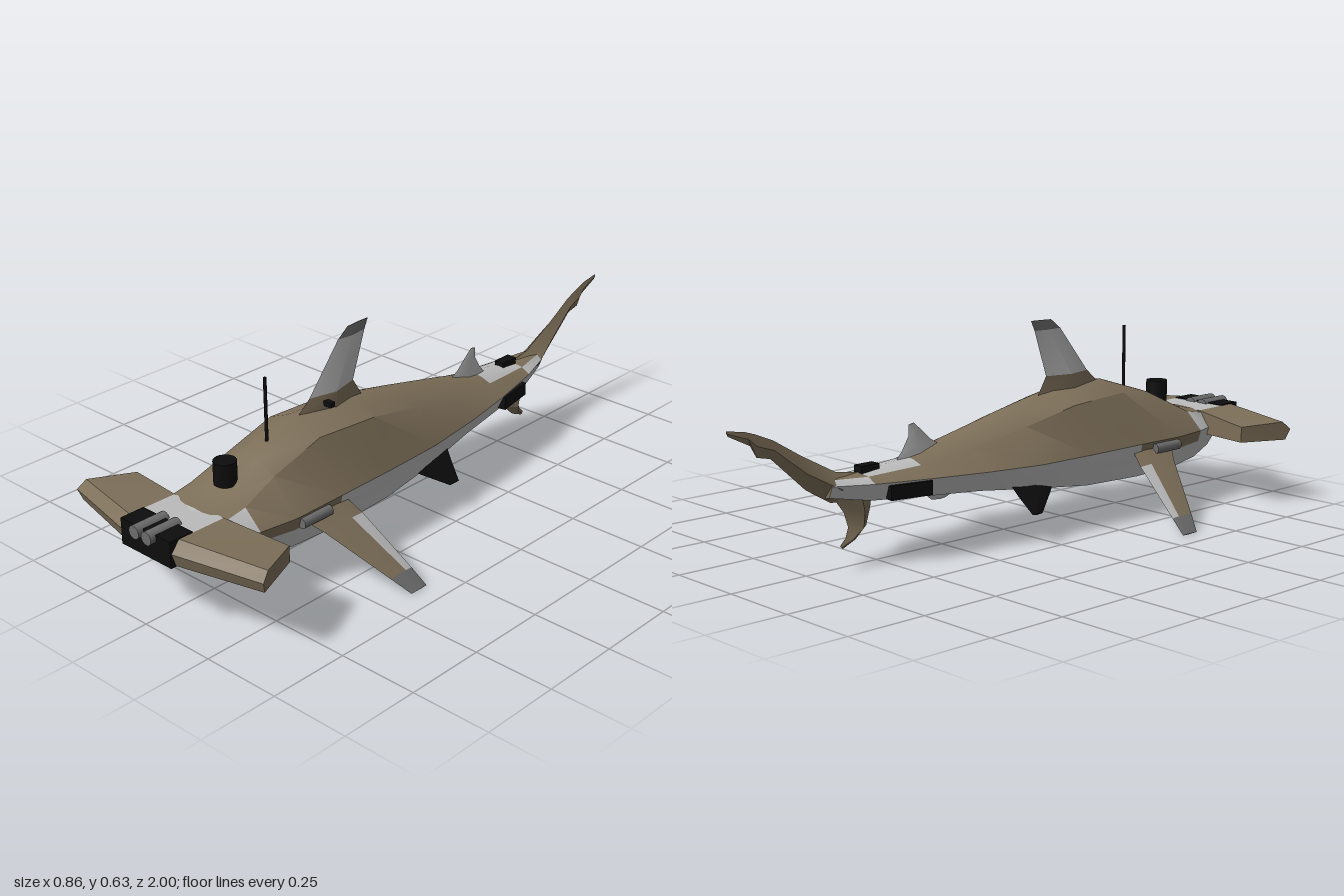
import * as THREE from 'three';
import { toCreasedNormals } from 'three/addons/utils/BufferGeometryUtils.js';

const mat = (name, color) => {
  const m = new THREE.MeshStandardMaterial({ color });
  m.name = name;
  return m;
};

export function createModel() {
  const root = new THREE.Group();
  root.name = 'sharkSubmarine';
  const mats = [mat('brown', 0x7d6f59), mat('lightGrey', 0xbcbcbc), mat('black', 0x0d0d0d), mat('midGrey', 0x6c6c6c)];
  const BROWN = 0, LIGHT = 1, BLACK = 2, GREY = 3;

  const add = (name, geo, material, x = 0, y = 0, z = 0) => {
    const m = new THREE.Mesh(geo, material);
    m.name = name;
    m.position.set(x, y, z);
    root.add(m);
    return m;
  };
  const box = (name, c, w, h, d, x, y, z) => add(name, new THREE.BoxGeometry(w, h, d), mats[c], x, y, z);
  const cyl = (name, c, r, h, x, y, z, sides = 20) => add(name, new THREE.CylinderGeometry(r, r, h, sides), mats[c], x, y, z);

  // Closed skin over rings of [x, y, z]; colorOf(segment, band) picks the material
  function loft(name, rings, colorOf, crease = 0.5) {
    const tris = [[], [], [], []];
    const n = rings[0].length, last = rings.length - 1;
    for (let i = 0; i < last; i++) for (let j = 0; j < n; j++) {
      const k = (j + 1) % n;
      const [a, b, c, d] = [rings[i][j], rings[i][k], rings[i + 1][k], rings[i + 1][j]];
      tris[colorOf(i, j)].push([a, b, c], [a, c, d]);
    }
    for (let j = 1; j < n - 1; j++) {
      tris[colorOf(0, 0)].push([rings[0][0], rings[0][j + 1], rings[0][j]]);
      tris[colorOf(last - 1, 0)].push([rings[last][0], rings[last][j], rings[last][j + 1]]);
    }
    // Signed volume tells whether the faces look outward
    const volume = tris.flat().reduce((s, [a, b, c]) => s +
      a[0] * (b[1] * c[2] - b[2] * c[1]) + a[1] * (b[2] * c[0] - b[0] * c[2]) + a[2] * (b[0] * c[1] - b[1] * c[0]), 0);
    const geo = new THREE.BufferGeometry(), pos = [];
    tris.forEach((list, m) => {
      if (!list.length) return;
      geo.addGroup(pos.length / 3, list.length * 3, m);
      for (const [a, b, c] of list) pos.push(...a, ...(volume < 0 ? c : b), ...(volume < 0 ? b : c));
    });
    geo.setAttribute('position', new THREE.Float32BufferAttribute(pos, 3));
    return add(name, toCreasedNormals(geo, crease), mats);
  }

  // Fin of diamond sections: rows of [lead, trail, half thickness]
  const fin = (name, rows, colorOf, normal = [1, 0, 0], split = 0.5) => loft(name, rows.map(([a, b, t]) => {
    const mid = s => a.map((v, i) => v + (b[i] - v) * split + normal[i] * t * s);
    return [a, mid(1), b, mid(-1)];
  }), colorOf);
  // Upright fin on the centre line: rows of [lead z, y, trail z, y, half thickness]
  const uprightFin = (name, rows, colorOf) =>
    fin(name, rows.map(([z1, y1, z2, y2, t]) => [[0, y1, z1], [0, y2, z2], t]), colorOf);

  // Hull: z, top y, ridge x, shoulder x y, waist x y, chine x y, keel x, bottom y
  const stations = [
    [0.90, 0.275, 0.06, 0.09, 0.265, 0.10, 0.235, 0.09, 0.215, 0.05, 0.205],
    [0.81, 0.285, 0.06, 0.11, 0.275, 0.14, 0.235, 0.12, 0.17, 0.07, 0.155],
    [0.72, 0.305, 0.05, 0.11, 0.29, 0.168, 0.235, 0.14, 0.145, 0.07, 0.13],
    [0.60, 0.365, 0.035, 0.10, 0.335, 0.187, 0.235, 0.16, 0.135, 0.06, 0.12],
    [0.42, 0.42, 0.03, 0.10, 0.388, 0.185, 0.235, 0.165, 0.13, 0.05, 0.11],
    [0.20, 0.41, 0.03, 0.105, 0.375, 0.178, 0.232, 0.16, 0.135, 0.05, 0.115],
    [0.00, 0.37, 0.03, 0.10, 0.335, 0.167, 0.23, 0.145, 0.155, 0.05, 0.14],
    [-0.20, 0.325, 0.03, 0.08, 0.295, 0.145, 0.235, 0.115, 0.175, 0.04, 0.165],
    [-0.38, 0.285, 0.025, 0.06, 0.27, 0.115, 0.24, 0.09, 0.185, 0.03, 0.18],
    [-0.56, 0.268, 0.02, 0.045, 0.262, 0.075, 0.245, 0.055, 0.195, 0.02, 0.19],
    [-0.68, 0.27, 0.01, 0.02, 0.265, 0.035, 0.25, 0.02, 0.215, 0.01, 0.21],
  ];
  const hullRings = stations.map(([z, top, rx, sx, sy, wx, wy, cx, cy, kx, bot]) => {
    const half = [[0, top], [rx, top - 0.003], [sx, sy], [wx, wy],
      [wx + (cx - wx) * 0.4, wy + (cy - wy) * 0.4], [cx, cy], [kx, bot + 0.003], [0, bot]];
    const other = half.slice(1, -1).reverse().map(([x, y]) => [-x, y]);
    return [...half, ...other].map(([x, y]) => [x, y, z]);
  });
  loft('hull', hullRings, (i, j) => {
    const band = j < 7 ? j : 13 - j;
    if (band > 3) return LIGHT;
    if (band === 3) return i === 2 || i === 3 ? BROWN : LIGHT;
    if (i === 0) return LIGHT;
    if (band === 2) return i === 1 || i === 9 ? LIGHT : BROWN;
    return i === 8 ? LIGHT : BROWN;
  }, 0.6);

  // Hammer head: swept wings around a light centre
  const tip = [[0.37, 0.21, 0.90], [0.38, 0.245, 0.912], [0.37, 0.27, 0.885], [0.31, 0.262, 0.75], [0.31, 0.212, 0.75]];
  const inner = [[0.1, 0.21, 0.965], [0.1, 0.25, 0.978], [0.1, 0.285, 0.95], [0.1, 0.283, 0.79], [0.1, 0.21, 0.79]];
  const flip = ring => ring.map(([x, y, z]) => [-x, y, z]);
  loft('hammerHead', [flip(tip), flip(inner), inner, tip], (i, j) => (i === 1 && j === 2 ? LIGHT : BROWN), 0.2);
  box('noseBlock', BLACK, 0.2, 0.08, 0.08, 0, 0.248, 0.942);

  // Turret, antenna and deck fittings
  cyl('turret', BLACK, 0.034, 0.07, 0, 0.35, 0.69);
  cyl('antenna', BLACK, 0.005, 0.2, 0, 0.48, 0.53, 8);
  box('finLamp', BLACK, 0.03, 0.015, 0.018, 0.03, 0.432, 0.31);
  box('rearHatch', BLACK, 0.034, 0.03, 0.065, 0, 0.272, -0.53);

  // Dorsal fins and ventral fin
  uprightFin('dorsalFin', [
    [0.42, 0.405, 0.14, 0.39, 0.03], [0.36, 0.455, 0.18, 0.455, 0.022],
    [0.24, 0.6, 0.13, 0.6, 0.007], [0.2, 0.63, 0.115, 0.632, 0.002],
  ], i => [BROWN, LIGHT, GREY][i]);
  uprightFin('rearDorsalFin', [
    [-0.24, 0.295, -0.43, 0.27, 0.015], [-0.29, 0.325, -0.4, 0.305, 0.01],
    [-0.335, 0.365, -0.375, 0.345, 0.005], [-0.355, 0.382, -0.375, 0.378, 0.002],
  ], () => LIGHT);
  uprightFin('ventralFin', [
    [-0.12, 0.19, -0.37, 0.2, 0.05], [-0.19, 0.16, -0.325, 0.175, 0.03], [-0.235, 0.142, -0.29, 0.143, 0.008],
  ], () => LIGHT);

  // Tail: long upper lobe and short lower lobe
  uprightFin('upperTail', [
    [-0.52, 0.262, -0.56, 0.19, 0.05], [-0.64, 0.28, -0.66, 0.195, 0.042], [-0.76, 0.345, -0.745, 0.245, 0.02],
    [-0.85, 0.4, -0.86, 0.35, 0.012], [-0.91, 0.425, -0.905, 0.36, 0.009],
    [-0.94, 0.435, -0.925, 0.395, 0.006], [-1, 0.445, -0.995, 0.43, 0.002],
  ], () => BROWN);
  uprightFin('lowerTail', [
    [-0.51, 0.22, -0.66, 0.22, 0.042], [-0.52, 0.16, -0.615, 0.16, 0.037], [-0.535, 0.11, -0.6, 0.115, 0.03],
    [-0.575, 0.075, -0.61, 0.085, 0.012], [-0.62, 0.056, -0.63, 0.065, 0.002],
  ], () => BROWN);

  // Paired parts
  for (const [side, s] of [['left', 1], ['right', -1]]) {
    const row = (x, y, z1, z2, t) => [[s * x, y, z1], [s * x, y, z2], t];
    fin(side + 'PectoralFin', [
      row(0.165, 0.22, 0.575, 0.395, 0.006), row(0.22, 0.175, 0.53, 0.375, 0.005),
      row(0.38, 0.046, 0.432, 0.345, 0.004), row(0.43, 0.004, 0.40, 0.337, 0.002),
    ], (i, j) => (i === 2 ? GREY : i === 1 && (j === 1 || j === 2) ? LIGHT : BROWN), [s * 0.63, 0.776, 0], 0.7);
    fin(side + 'PelvicFin', [
      row(0.125, 0.185, 0.10, -0.095, 0.007), row(0.155, 0.145, 0.05, -0.085, 0.007), row(0.2, 0.095, -0.03, -0.07, 0.005),
    ], () => BLACK, [s * 0.75, 0.66, 0]);
    cyl(side + 'FinPivot', GREY, 0.016, 0.11, s * 0.188, 0.213, 0.53, 14).rotation.x = Math.PI / 2;
    cyl(side + 'NoseTube', GREY, 0.02, 0.11, s * 0.025, 0.278, 0.945).rotation.x = Math.PI / 2;
    box(side + 'Thruster', BLACK, 0.03, 0.042, 0.135, s * 0.092, 0.215, -0.45).rotation.y = s * 0.18;
  }
  return root;
}
